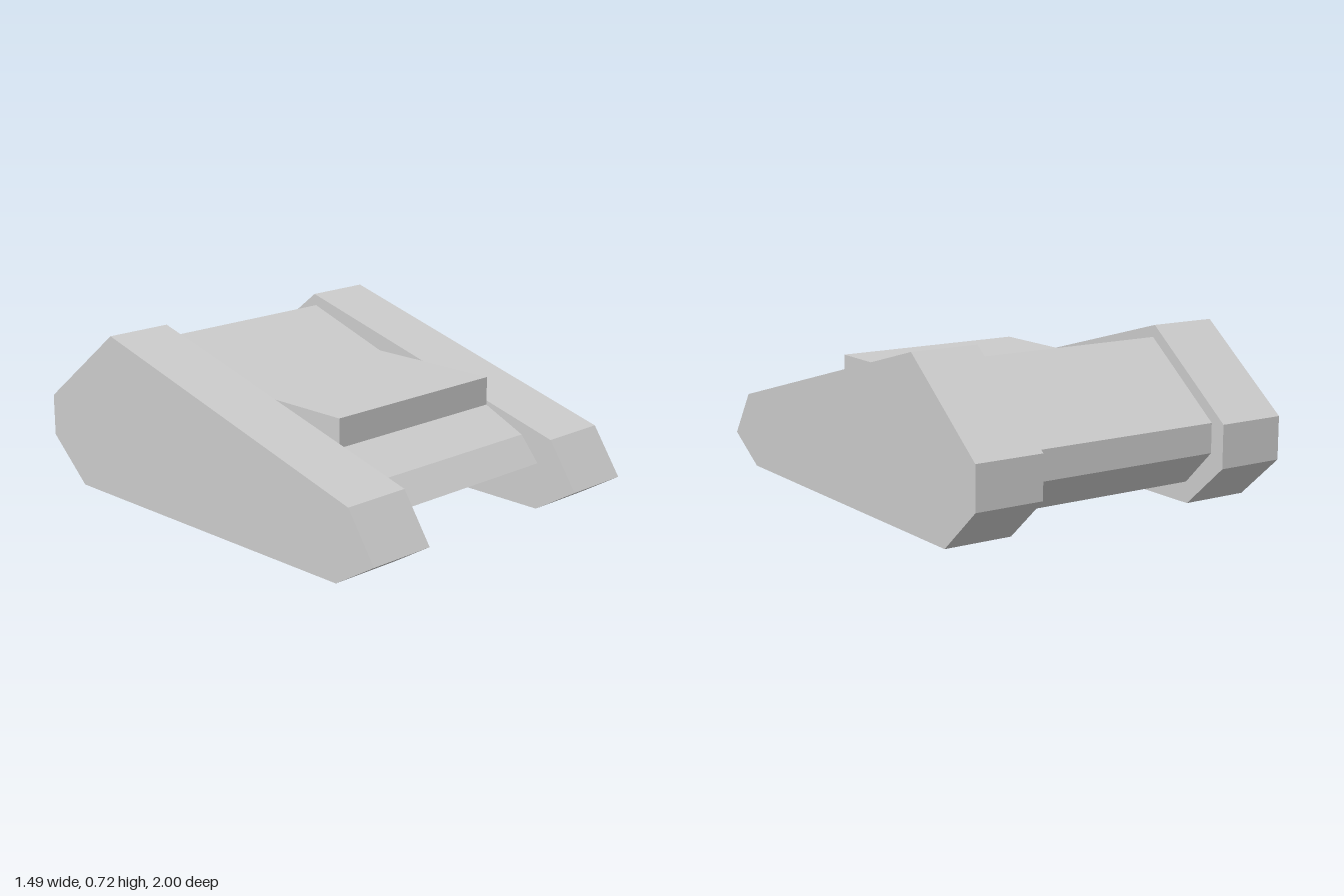
import * as THREE from 'three';

const material = new THREE.MeshStandardMaterial({ color: 0xcccccc, flatShading: true });

// Extrudes a side profile of [z, y] points to a width centred on x
function slab(name, profile, width, x = 0) {
  const shape = new THREE.Shape(profile.map(([z, y]) => new THREE.Vector2(z, y)));
  const geometry = new THREE.ExtrudeGeometry(shape, { depth: width, bevelEnabled: false });
  geometry.translate(0, 0, -width / 2);
  geometry.rotateY(-Math.PI / 2);
  const mesh = new THREE.Mesh(geometry, material);
  mesh.name = name;
  mesh.position.x = x;
  return mesh;
}

export function createModel() {
  const model = new THREE.Group();
  model.name = 'wedgeVehicle';

  // Side pods: low pointed nose, deck rising to a high rear crest
  const podProfile = [
    [0.8, 0], [1, 0.12], [0.865, 0.32], [-0.56, 0.717],
    [-1, 0.37], [-1, 0.187], [-0.79, 0],
  ];
  const podWidth = 0.302, podX = 0.594;
  model.add(slab('leftPod', podProfile, podWidth, podX));
  model.add(slab('rightPod', podProfile, podWidth, -podX));

  // Central hull between the pods, with a sloping deck
  const hullProfile = [
    [0.51, 0.09], [0.8, 0.203], [0.71, 0.31], [0.51, 0.4],
    [-0.13, 0.523], [-0.55, 0.665], [-0.93, 0.365], [-0.93, 0.24], [-0.78, 0.09],
  ];
  const hullWidth = 0.886;
  model.add(slab('hull', hullProfile, hullWidth));

  // Flat-topped step standing on the deck
  const stepProfile = [[0.51, 0.4], [0.51, 0.523], [-0.13, 0.523]];
  model.add(slab('deckStep', stepProfile, hullWidth));

  return model;
}
